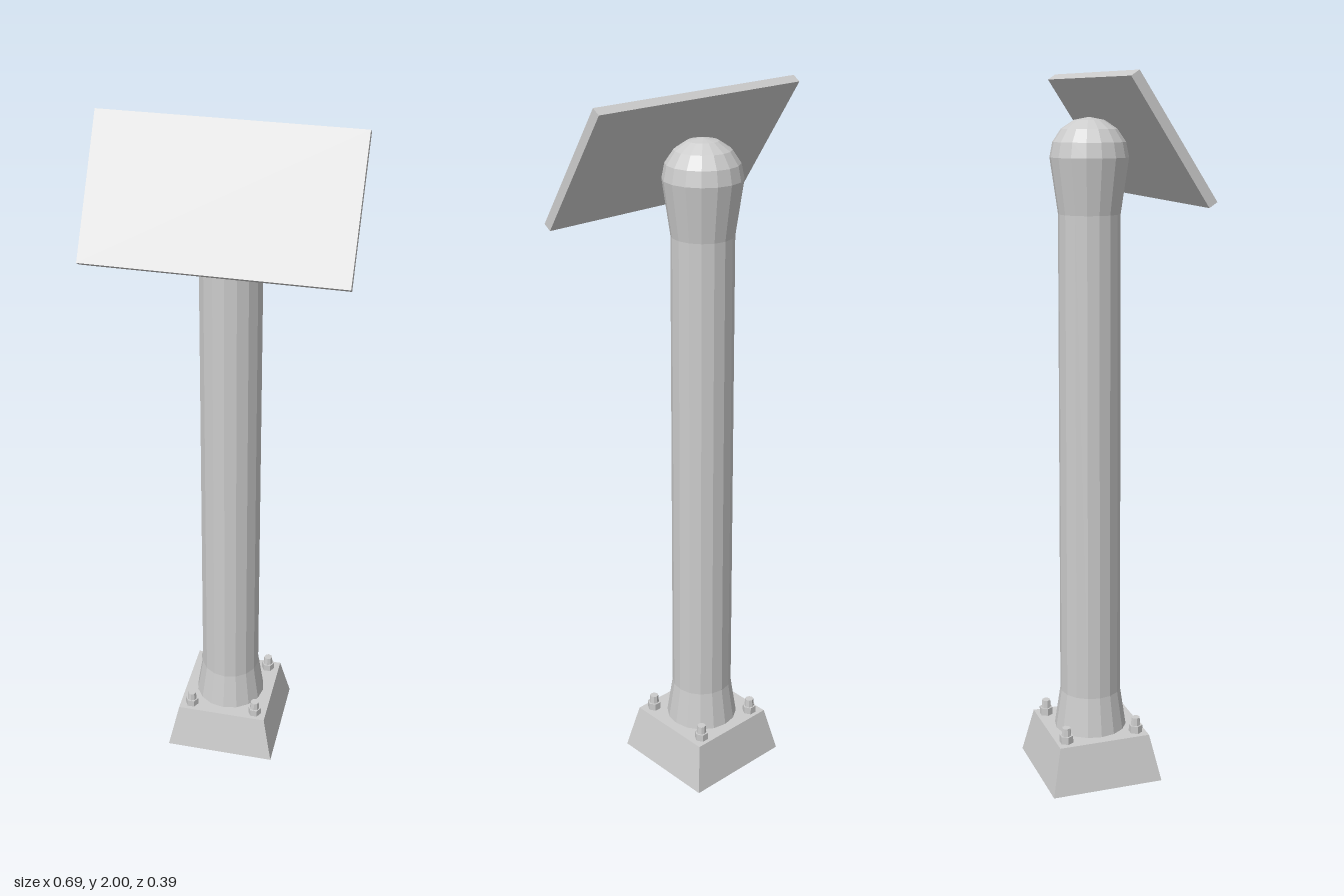
import * as THREE from 'three';

const CENTER_Z = -0.031; // axis of the post and its footing

export function createModel() {
  const model = new THREE.Group();
  const flat = new THREE.MeshStandardMaterial({ color: 0xcccccc, flatShading: true });

  const add = (parent, name, geometry, x, y, z) => {
    const mesh = new THREE.Mesh(geometry, flat);
    mesh.name = name;
    mesh.position.set(x, y, z);
    parent.add(mesh);
    return mesh;
  };

  // Tapered square footing
  const footing = new THREE.CylinderGeometry(0.135 * Math.SQRT2, 0.164 * Math.SQRT2, 0.136, 4);
  footing.rotateY(Math.PI / 4);
  add(model, 'footing', footing, 0, 0.068, CENTER_Z);

  // Post: flared foot, straight shaft, flared neck and domed cap
  const profile = [[0, 0.136], [0.105, 0.136], [0.088, 0.25], [0.085, 1.63], [0.107, 1.78]]
    .map(([r, y]) => new THREE.Vector2(r, y));
  for (let i = 1; i <= 4; i++) {
    const a = (i * Math.PI) / 8;
    profile.push(new THREE.Vector2(i === 4 ? 0 : 0.107 * Math.cos(a), 1.78 + 0.105 * Math.sin(a)));
  }
  add(model, 'post', new THREE.LatheGeometry(profile, 16), 0, 0, CENTER_Z);

  // Anchor bolts: hexagonal nut with a stud on top
  const nut = new THREE.CylinderGeometry(0.02, 0.02, 0.022, 6).rotateY(Math.PI / 6);
  const stud = new THREE.CylinderGeometry(0.0125, 0.0145, 0.024, 8);
  for (const sx of [-1, 1]) {
    for (const sz of [-1, 1]) {
      const bolt = new THREE.Group();
      bolt.name = 'anchorBolt';
      bolt.position.set(sx * 0.1, 0.136, CENTER_Z + sz * 0.106);
      add(bolt, 'nut', nut, 0, 0.011, 0);
      add(bolt, 'stud', stud, 0, 0.033, 0);
      model.add(bolt);
    }
  }

  // Tilted panel, leaning back at the top
  const panel = add(model, 'panel', new THREE.BoxGeometry(0.686, 0.384, 0.026), 0, 1.832, 0.077);
  panel.rotation.x = -0.583;

  return model;
}
